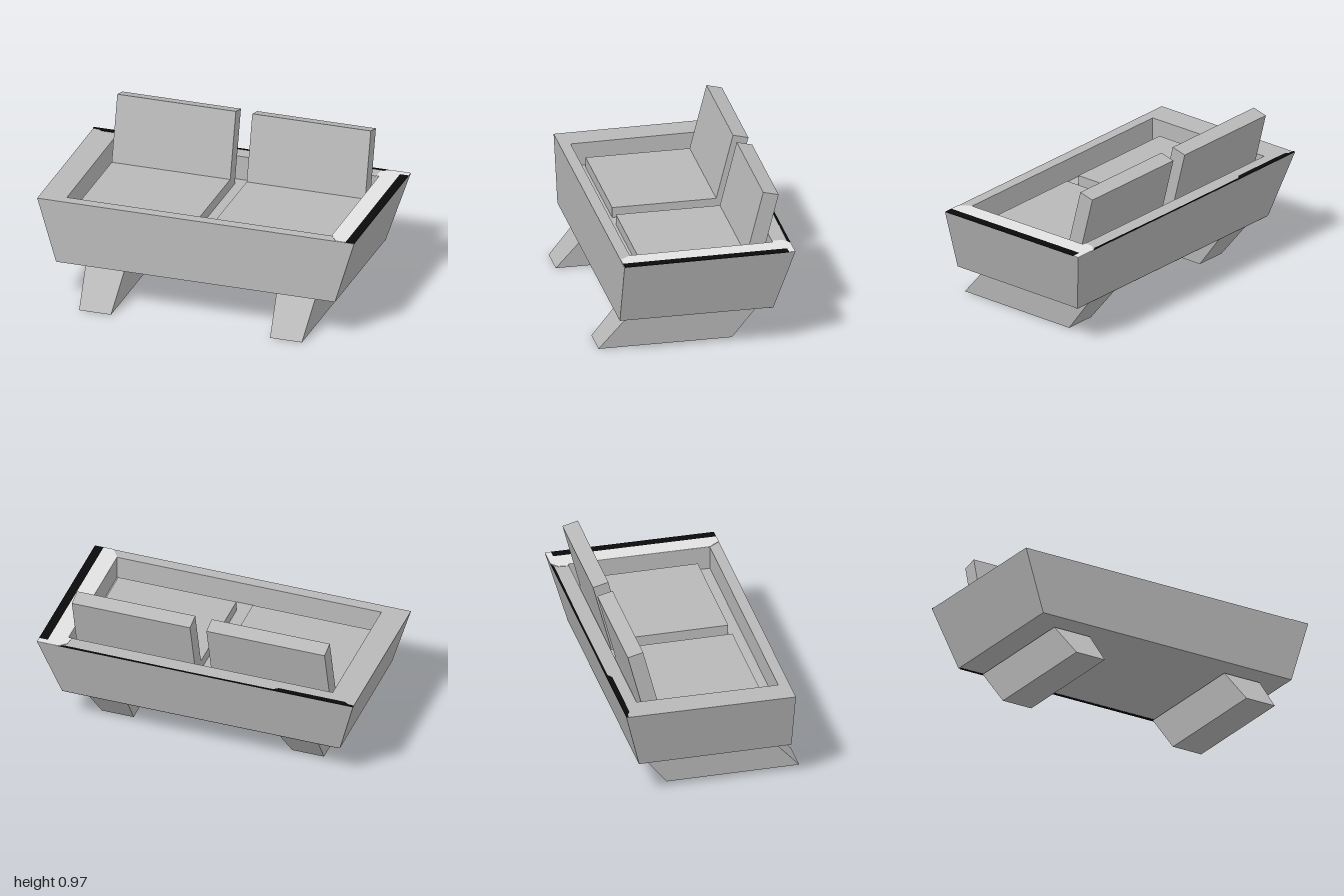
import * as THREE from 'three';

// Closed flat-sided solid skinned through rectangles { y: [back, front], x: [min, max], z: [back, front] }
function loftRects(rects) {
  const rings = rects.map(({ y, x, z }) => [
    [x[0], y[0], z[0]], [x[0], y[1], z[1]], [x[1], y[1], z[1]], [x[1], y[0], z[0]],
  ]);
  const pos = [];
  const quad = (a, b, c, d) => pos.push(...a, ...b, ...c, ...a, ...c, ...d);
  for (let r = 0; r < rings.length - 1; r++) {
    for (let i = 0; i < 4; i++) {
      const j = (i + 1) % 4;
      quad(rings[r][i], rings[r][j], rings[r + 1][j], rings[r + 1][i]);
    }
  }
  quad(...[...rings[0]].reverse());
  quad(...rings[rings.length - 1]);
  const geometry = new THREE.BufferGeometry();
  geometry.setAttribute('position', new THREE.Float32BufferAttribute(pos, 3));
  geometry.computeVertexNormals();
  return geometry;
}

// Thin horizontal plate from an outline of [x, z] points
function plate(outline) {
  const shape = new THREE.Shape(outline.map(([x, z]) => new THREE.Vector2(x, -z)));
  return new THREE.ExtrudeGeometry(shape, { depth: 0.003, bevelEnabled: false }).rotateX(-Math.PI / 2);
}

function flat(name, color) {
  const material = new THREE.MeshStandardMaterial({ color });
  material.name = name;
  return material;
}

export function createModel() {
  const sofa = new THREE.Group();
  sofa.name = 'sofa';
  const grey = flat('grey', 0xb8b8b8);
  const pale = flat('pale grey', 0xe2e2e2);
  const black = flat('black', 0x0a0a0a);

  const add = (name, geometry, material = grey, parent = sofa) => {
    const mesh = new THREE.Mesh(geometry, material);
    mesh.name = name;
    parent.add(mesh);
    return mesh;
  };

  // Flared tub: outer walls, rim falling slightly to the front, inner walls and floor
  add('tub', loftRects([
    { y: [0.252, 0.252], x: [-0.88, 0.88], z: [-0.46, 0.478] },
    { y: [0.657, 0.651], x: [-1, 1], z: [-0.568, 0.475] },
    { y: [0.657, 0.651], x: [-0.836, 0.836], z: [-0.465, 0.407] },
    { y: [0.505, 0.505], x: [-0.836, 0.836], z: [-0.465, 0.407] },
  ]));

  // Painted bands lying on the sloping rim
  const bands = new THREE.Group();
  bands.name = 'rimBands';
  bands.position.y = 0.654;
  bands.rotation.x = 0.0058;
  sofa.add(bands);
  add('paleArmBand', plate([
    [0.836, 0.407], [0.885, 0.474], [0.945, 0.474], [0.945, -0.53], [1, -0.53],
    [1, -0.568], [0.865, -0.568], [0.822, -0.53], [0.815, -0.465], [0.836, -0.465],
  ]), pale, bands);
  add('blackArmBand', plate([
    [0.945, 0.472], [1, 0.472], [1, -0.53], [0.945, -0.53],
  ]), black, bands);
  add('blackBackBand', plate([
    [-1, -0.568], [-1, -0.555], [-0.96, -0.55], [-0.94, -0.535], [-0.52, -0.535],
    [-0.49, -0.556], [0.12, -0.558], [0.83, -0.553], [0.86, -0.568],
  ]), black, bands);

  // Dark seam under the back edge
  add('backSeam', plate([
    [-0.87, -0.46], [-0.87, -0.445], [0.88, -0.435], [0.88, -0.46],
  ]), black).position.y = 0.25;

  for (const [side, s] of [['left', 1], ['right', -1]]) {
    const span = (a, b) => (s > 0 ? [a, b] : [-b, -a]);

    // Slanted runner foot, narrower at the ground
    add(side + 'Foot', loftRects([
      { y: [0, 0], x: span(0.502, 0.703), z: [-0.245, 0.57] },
      { y: [0.24, 0.24], x: span(0.477, 0.728), z: [-0.43, 0.363] },
    ]));

    // Seat cushion resting on the tub floor
    add(side + 'SeatCushion', loftRects([
      { y: [0.505, 0.505], x: span(0.052, 0.8), z: [-0.4, 0.323] },
      { y: [0.57, 0.57], x: span(0.052, 0.8), z: [-0.4, 0.323] },
    ]));

    // Reclined back cushion
    const back = add(side + 'BackCushion', new THREE.BoxGeometry(0.748, 0.44, 0.097));
    back.position.set(s * 0.426, 0.748, -0.408);
    back.rotation.x = -0.25;
  }

  return sofa;
}
